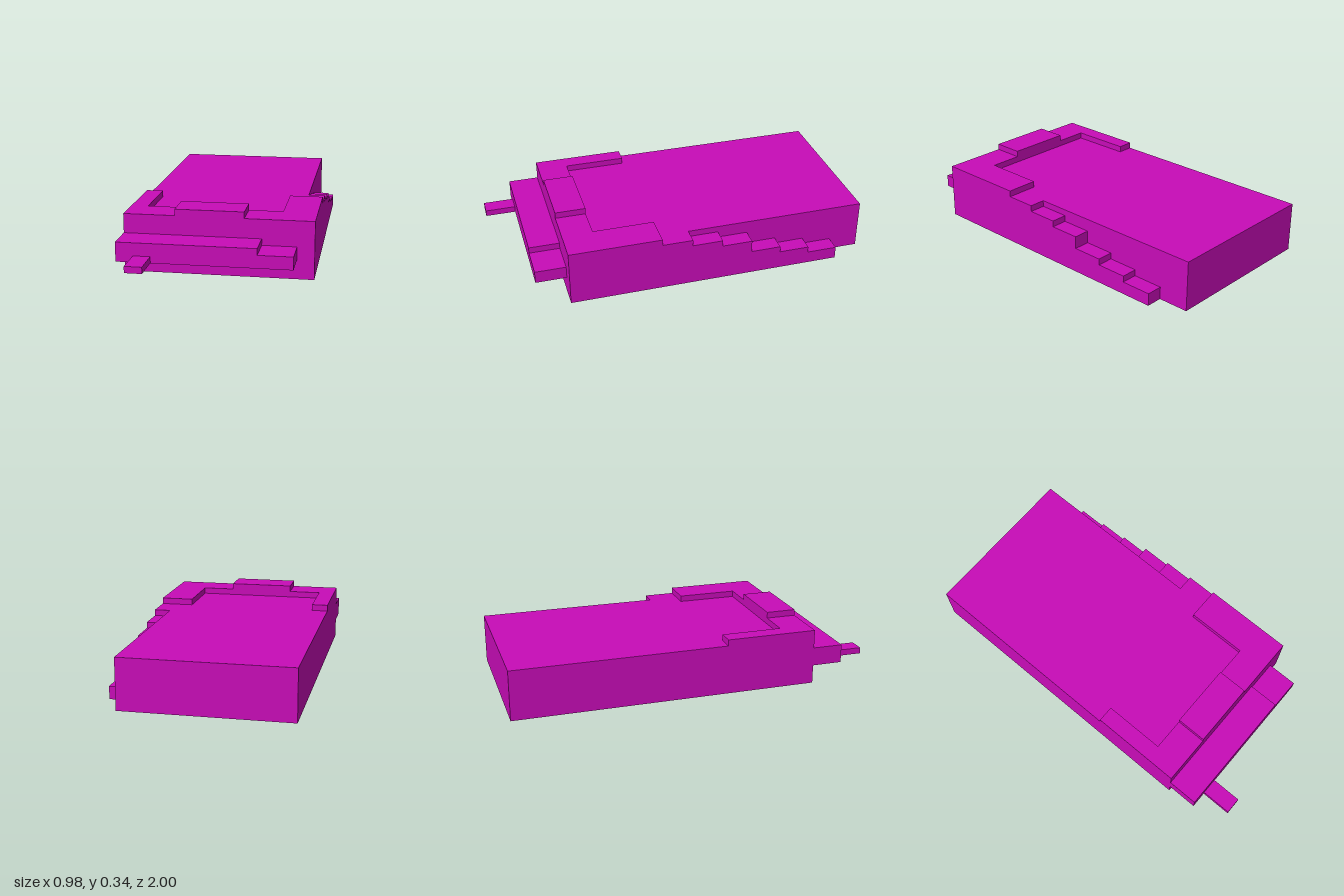
import * as THREE from 'three';

// Block grid: one cell is UX wide, UY high, UZ deep
const UX = 0.0893, UY = 0.034, UZ = 1 / 6;

export function createModel() {
  const group = new THREE.Group();
  group.name = 'steppedBlock';
  const magenta = new THREE.MeshStandardMaterial({ color: 0xc80cb8 });
  magenta.name = 'magenta';

  const add = (name, geometry) => {
    const mesh = new THREE.Mesh(geometry, magenta);
    mesh.name = name;
    group.add(mesh);
  };

  // Box between two grid corners
  const block = (name, [x0, x1], [y0, y1], [z0, z1]) => {
    const g = new THREE.BoxGeometry((x1 - x0) * UX, (y1 - y0) * UY, (z1 - z0) * UZ);
    g.translate((x0 + x1) / 2 * UX, (y0 + y1) / 2 * UY, (z0 + z1) / 2 * UZ);
    add(name, g);
  };

  // Upright prism from a plan of [x, z] grid points, with an optional hole
  const toPoints = (plan) => plan.map(([x, z]) => new THREE.Vector2(x * UX, -z * UZ));
  const prism = (name, plan, y0, y1, hole) => {
    const shape = new THREE.Shape(toPoints(plan));
    if (hole) shape.holes.push(new THREE.Path(toPoints(hole)));
    const g = new THREE.ExtrudeGeometry(shape, { depth: (y1 - y0) * UY, bevelEnabled: false });
    g.rotateX(-Math.PI / 2).translate(0, y0 * UY, 0);
    add(name, g);
  };
  const rect = (x0, x1, z0, z1) => [[x0, z0], [x0, z1], [x1, z1], [x1, z0]];

  // Body: walls around a recess open at the bottom, closed by a roof
  prism('bodyWalls', rect(-5.5, 4.5, -6, 4), 0, 7, rect(-4.5, 3.5, -4, 3));
  block('bodyRoof', [-5.5, 4.5], [7, 8], [-6, 4]);

  // Side strip with steps falling towards the back
  block('sideStrip', [4.5, 5.5], [0, 8], [0, 4]);
  [7, 6, 4, 3, 2].forEach((h, i) => block('sideStep' + (i + 1), [4.5, 5.5], [0, h], [-i - 1, -i]));

  // U-shaped raised rim and the pad on it
  prism('raisedRim', [[-5.5, 1], [-5.5, 4], [5.5, 4], [5.5, 1], [3.5, 1], [3.5, 3], [-4.5, 3], [-4.5, 1]], 8, 9);
  block('rimPad', [-2.5, 1.5], [9, 10], [3, 4]);

  // Front ledge and tab
  block('frontLedge', [-5.5, 2.5], [3, 6], [4, 5]);
  block('lowerLedge', [2.5, 4.5], [3, 5], [4, 5]);
  block('frontTab', [-4.5, -3.5], [3, 4], [5, 6]);

  return group;
}
